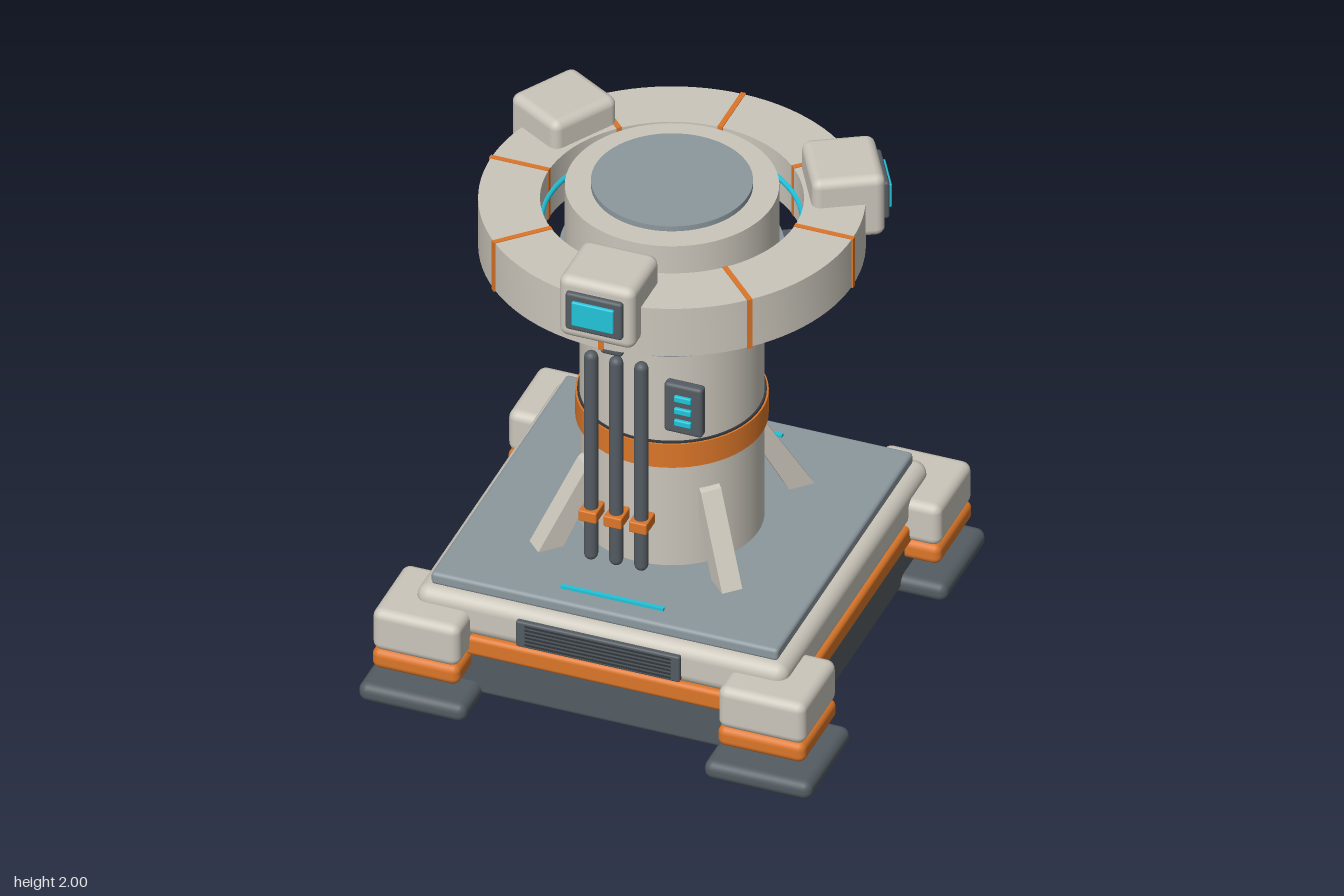
import * as THREE from 'three';
import { toCreasedNormals } from 'three/addons/utils/BufferGeometryUtils.js';
import { RoundedBoxGeometry } from 'three/addons/geometries/RoundedBoxGeometry.js';

const mat = (color) => new THREE.MeshStandardMaterial({ color });

export function createModel() {
  const model = new THREE.Group();
  const light = mat(0xcbc6bb), steel = mat(0x8c989e), dark = mat(0x545c62);
  const orange = mat(0xdb7629), cyan = mat(0x22c3da), black = mat(0x33383c);

  const add = (parent, name, geometry, material, x = 0, y = 0, z = 0) => {
    const mesh = new THREE.Mesh(geometry, material);
    mesh.name = name;
    mesh.position.set(x, y, z);
    parent.add(mesh);
    return mesh;
  };
  // Rounded box given by its bottom and top heights
  const block = (parent, name, material, w, y0, y1, d, r, x = 0, z = 0) =>
    add(parent, name, new RoundedBoxGeometry(w, y1 - y0, d, 3, r), material, x, (y0 + y1) / 2, z);
  const drum = (name, material, r, y0, y1) =>
    add(model, name, new THREE.CylinderGeometry(r, r, y1 - y0, 64), material, 0, (y0 + y1) / 2, 0);
  // Group turned so that its local +z points outwards at an angle from the front
  const spoke = (name, angle) => {
    const g = new THREE.Group();
    g.name = name;
    g.rotation.y = angle;
    model.add(g);
    return g;
  };

  // Stepped square base
  block(model, 'baseSkirt', dark, 1.42, 0.025, 0.23, 1.42, 0.02);
  block(model, 'baseStripe', orange, 1.46, 0.2, 0.285, 1.46, 0.02);
  block(model, 'baseBody', light, 1.45, 0.275, 0.445, 1.45, 0.05);
  block(model, 'deckPlate', steel, 1.355, 0.44, 0.492, 1.355, 0.015);

  // Corner feet and bumpers
  for (const sx of [-1, 1]) for (const sz of [-1, 1]) {
    const x = sx * 0.675, z = sz * 0.675;
    block(model, 'footPad', dark, 0.42, 0, 0.078, 0.42, 0.035, x, z);
    block(model, 'bumperStripe', orange, 0.342, 0.133, 0.218, 0.342, 0.03, x, z);
    block(model, 'cornerBumper', light, 0.34, 0.212, 0.39, 0.34, 0.035, x, z);
  }

  // Vents and deck light strips, front and back
  for (const angle of [0, Math.PI]) {
    const side = spoke('baseVent', angle);
    block(side, 'ventPanel', dark, 0.64, 0.298, 0.41, 0.04, 0.008, 0, 0.722);
    for (let i = 0; i < 6; i++)
      add(side, 'ventSlot', new THREE.BoxGeometry(0.57, 0.008, 0.006), black, 0, 0.314 + i * 0.016, 0.741);
    add(side, 'deckLight', new THREE.BoxGeometry(0.4, 0.012, 0.016), cyan, 0, 0.497, 0.59);
  }

  // Column, bands and collars
  drum('column', light, 0.337, 0.485, 1.45);
  drum('columnBand', orange, 0.352, 0.935, 1.038);
  drum('columnSeam', black, 0.345, 1.035, 1.045);
  drum('lowerCollar', steel, 0.367, 1.438, 1.51);
  drum('upperCollar', steel, 0.41, 1.5, 1.68);
  drum('head', light, 0.39, 1.67, 1.945);
  drum('headCap', steel, 0.295, 1.94, 1.967);

  // Slanted braces on the diagonals
  const braceShape = new THREE.Shape([[0.45, 0.488], [0.55, 0.488], [0.355, 0.815], [0.34, 0.825], [0.27, 0.825]]
    .map(([r, y]) => new THREE.Vector2(r, y)));
  const braceGeo = new THREE.ExtrudeGeometry(braceShape, { depth: 0.08, bevelEnabled: false });
  braceGeo.translate(0, 0, -0.04);
  braceGeo.rotateY(-Math.PI / 2);
  for (let i = 0; i < 4; i++) add(spoke('braceMount', Math.PI / 4 + i * Math.PI / 2), 'brace', braceGeo, light);

  // Conduits with clips
  for (const x of [-0.155, -0.057, 0.041]) {
    add(model, 'conduit', new THREE.CapsuleGeometry(0.026, 0.868, 6, 16), dark, x, 0.975, 0.41);
    block(model, 'conduitClip', orange, 0.07, 0.698, 0.745, 0.09, 0.006, x, 0.405);
  }

  // Control panel
  block(model, 'controlPanel', dark, 0.15, 1.11, 1.325, 0.045, 0.014, 0.18, 0.332);
  for (const y of [1.165, 1.217, 1.27])
    block(model, 'panelButton', cyan, 0.066, y - 0.013, y + 0.013, 0.024, 0.005, 0.183, 0.355);

  // Ring with inner light line
  const ringProfile = [[0.48, 1.678], [0.705, 1.678], [0.705, 1.888], [0.48, 1.888], [0.48, 1.678]]
    .map(([r, y]) => new THREE.Vector2(r, y));
  add(model, 'ring', toCreasedNormals(new THREE.LatheGeometry(ringProfile, 96), 0.6), light);
  const glow = add(model, 'ringLight', new THREE.TorusGeometry(0.478, 0.012, 8, 96), cyan, 0, 1.783, 0);
  glow.rotation.x = Math.PI / 2;
  for (let i = 0; i < 8; i++)
    add(spoke('ringDivider', i * Math.PI / 4), 'dividerStrip',
      new THREE.BoxGeometry(0.02, 0.216, 0.232), orange, 0, 1.783, 0.595);

  // Three sensor pods with support arms
  for (let i = 0; i < 3; i++) {
    const pod = spoke('sensorPod', i * Math.PI * 2 / 3);
    block(pod, 'podHousing', light, 0.297, 1.735, 2, 0.27, 0.035, 0, 0.63);
    block(pod, 'screenBezel', dark, 0.222, 1.788, 1.95, 0.03, 0.012, 0, 0.77);
    block(pod, 'screen', cyan, 0.165, 1.818, 1.922, 0.024, 0.006, 0, 0.785);
    block(pod, 'supportArm', dark, 0.088, 1.583, 1.679, 0.25, 0.015, 0, 0.487);
  }
  return model;
}
